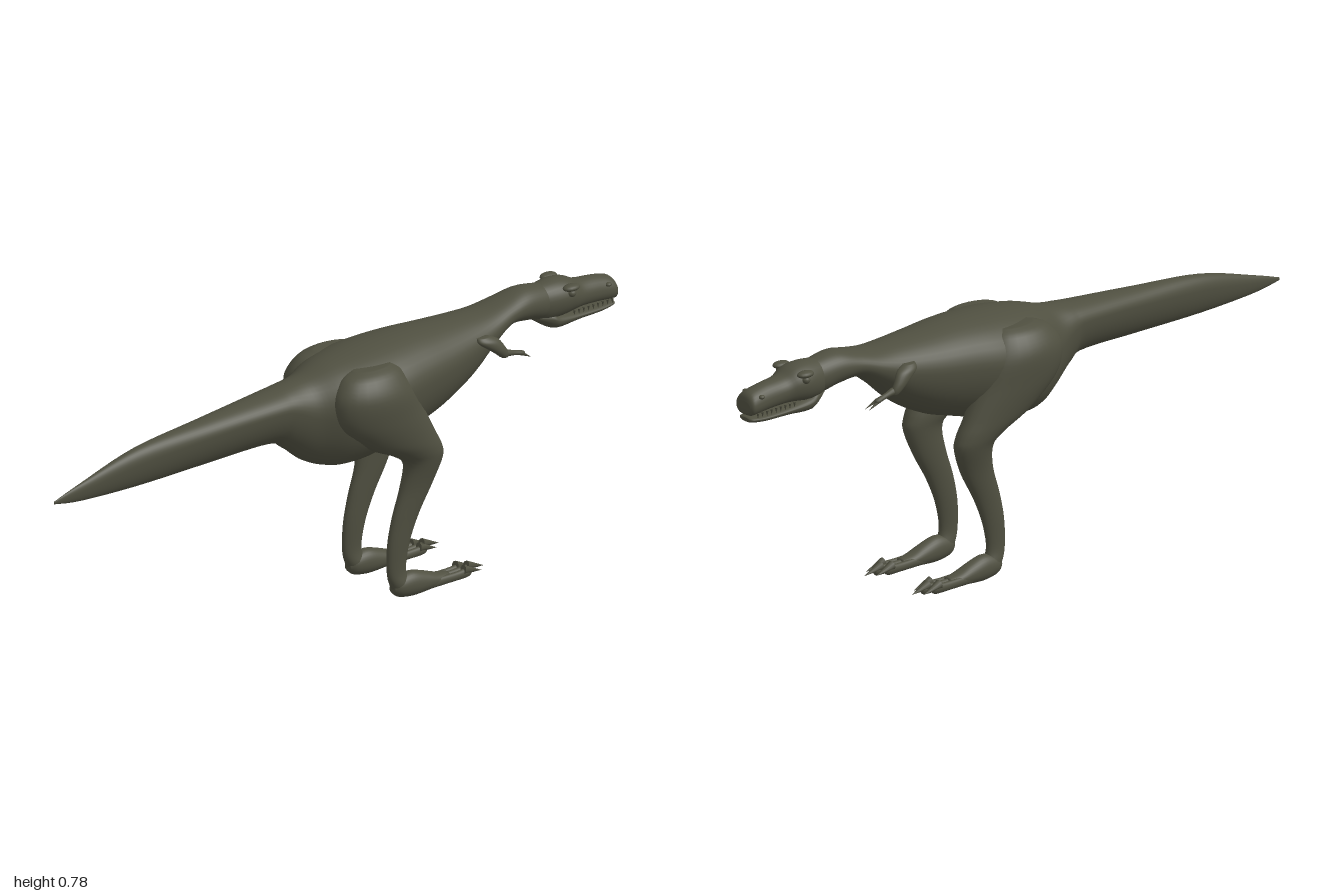
import * as THREE from 'three';

const hide = new THREE.MeshStandardMaterial({ color: 0x4f4f40 });
hide.name = 'oliveHide';

// Smooth interpolation of a table of section rows
function refine(rows, steps) {
  const out = [];
  const at = (i) => rows[Math.min(rows.length - 1, Math.max(0, i))];
  for (let i = 0; i < rows.length - 1; i++) {
    for (let s = 0; s < steps; s++) {
      const t = s / steps;
      out.push(at(i).map((b, c) => {
        const a = at(i - 1)[c], d = at(i + 1)[c], e = at(i + 2)[c];
        return b + 0.5 * t * (d - a + t * (2 * a - 5 * b + 4 * d - e + t * (3 * (b - d) + e - a)));
      }));
    }
  }
  out.push(rows[rows.length - 1]);
  return out;
}

// Closed skin over rings of points, always wound outward
function skin(rings) {
  const n = rings[0].length, pts = rings.flat(), idx = [];
  for (let r = 0; r < rings.length - 1; r++) {
    for (let i = 0; i < n; i++) {
      const j = (i + 1) % n, a = r * n, b = a + n;
      idx.push(a + i, a + j, b + i, a + j, b + j, b + i);
    }
  }
  [rings[0], rings[rings.length - 1]].forEach((ring, end) => {
    const c = pts.length, base = end ? (rings.length - 1) * n : 0;
    pts.push(ring.reduce((s, p) => s.add(p), new THREE.Vector3()).divideScalar(n));
    for (let i = 0; i < n; i++) {
      const j = (i + 1) % n;
      if (end) idx.push(c, base + i, base + j); else idx.push(c, base + j, base + i);
    }
  });
  let volume = 0;
  const cross = new THREE.Vector3();
  for (let i = 0; i < idx.length; i += 3) {
    volume += pts[idx[i]].dot(cross.crossVectors(pts[idx[i + 1]], pts[idx[i + 2]]));
  }
  if (volume < 0) idx.reverse();
  const g = new THREE.BufferGeometry().setFromPoints(pts);
  g.setIndex(idx);
  g.computeVertexNormals();
  return g;
}

// Sections along z: [z, half width, top, bottom, height fraction of widest point, lower fullness]
function lengthwise(rows, x = 0, steps = 5, n = 32) {
  return skin(refine(rows, steps).map(([z, w, top, bottom, f, k]) => {
    const mid = bottom + (top - bottom) * f;
    return Array.from({ length: n }, (_, i) => {
      const a = (i / n) * Math.PI * 2, c = Math.cos(a), s = Math.sin(a);
      const px = Math.sign(c) * Math.abs(c) ** (s < 0 ? k : 1) * Math.max(w, 0.001);
      return new THREE.Vector3(x + px, mid + s * (s > 0 ? top - mid : mid - bottom), z);
    });
  }));
}

// Sections up a limb: [y, z, z radius, x, x radius]
function upright(rows, side) {
  return skin(refine(rows, 5).map(([y, z, rz, x, rx]) =>
    Array.from({ length: 24 }, (_, i) => {
      const a = (i / 24) * Math.PI * 2;
      return new THREE.Vector3(side * (x + Math.cos(a) * rx), y, z + Math.sin(a) * rz);
    })));
}

function add(parent, name, geometry) {
  const m = new THREE.Mesh(geometry, hide);
  m.name = name;
  parent.add(m);
  return m;
}

// Tapered spike between two points
function spike(parent, name, from, to, r) {
  const a = new THREE.Vector3(...from), d = new THREE.Vector3(...to).sub(a);
  const m = add(parent, name, new THREE.ConeGeometry(r, d.length(), 8));
  m.position.copy(a).addScaledVector(d, 0.5);
  m.quaternion.setFromUnitVectors(new THREE.Vector3(0, 1, 0), d.normalize());
}

const BODY = [
  [0.995, 0.002, 0.58, 0.572, 0.5, 1], [0.9, 0.011, 0.61, 0.557, 0.6, 1.1],
  [0.7, 0.029, 0.664, 0.548, 0.65, 1.2], [0.45, 0.048, 0.687, 0.549, 0.7, 1.3],
  [0.24, 0.067, 0.704, 0.55, 0.7, 1.2], [0.18, 0.075, 0.711, 0.522, 0.68, 1],
  [0.11, 0.095, 0.722, 0.466, 0.6, 0.9], [0.03, 0.14, 0.745, 0.437, 0.58, 0.85],
  [-0.06, 0.163, 0.758, 0.438, 0.6, 0.85], [-0.15, 0.16, 0.764, 0.455, 0.6, 0.9],
  [-0.25, 0.143, 0.765, 0.482, 0.6, 0.95], [-0.35, 0.124, 0.76, 0.514, 0.6, 1],
  [-0.45, 0.102, 0.756, 0.57, 0.58, 1], [-0.53, 0.082, 0.755, 0.64, 0.55, 1],
  [-0.6, 0.066, 0.766, 0.686, 0.5, 1], [-0.67, 0.058, 0.78, 0.682, 0.5, 1],
  [-0.74, 0.05, 0.772, 0.668, 0.5, 1], [-0.79, 0.04, 0.76, 0.68, 0.5, 1],
];
const UPPER_HEAD = [
  [-0.7, 0.035, 0.765, 0.69, 0.5, 1], [-0.74, 0.05, 0.772, 0.665, 0.5, 0.8],
  [-0.79, 0.059, 0.776, 0.665, 0.5, 0.7], [-0.83, 0.058, 0.77, 0.672, 0.5, 0.6],
  [-0.87, 0.046, 0.752, 0.675, 0.45, 0.5], [-0.93, 0.041, 0.745, 0.672, 0.4, 0.5],
  [-0.975, 0.041, 0.736, 0.668, 0.4, 0.5], [-0.993, 0.038, 0.725, 0.666, 0.45, 0.6],
  [-1, 0.028, 0.708, 0.674, 0.5, 0.8],
];
const LOWER_JAW = [
  [-0.72, 0.025, 0.69, 0.664, 0.5, 1], [-0.76, 0.045, 0.69, 0.638, 0.6, 0.8],
  [-0.79, 0.047, 0.676, 0.631, 0.6, 0.8], [-0.86, 0.04, 0.664, 0.636, 0.6, 0.8],
  [-0.94, 0.036, 0.66, 0.638, 0.6, 0.8], [-0.985, 0.03, 0.661, 0.643, 0.6, 0.9],
  [-0.995, 0.018, 0.658, 0.648, 0.5, 1],
];
const LEG = [
  [0.735, -0.07, 0.06, 0.09, 0.03], [0.715, -0.06, 0.1, 0.1, 0.055],
  [0.66, -0.06, 0.135, 0.108, 0.076], [0.58, -0.085, 0.145, 0.11, 0.072],
  [0.5, -0.15, 0.12, 0.112, 0.057], [0.45, -0.212, 0.085, 0.11, 0.047],
  [0.41, -0.238, 0.066, 0.108, 0.038], [0.335, -0.22, 0.056, 0.101, 0.028],
  [0.25, -0.183, 0.046, 0.099, 0.022], [0.17, -0.158, 0.038, 0.099, 0.019],
  [0.09, -0.15, 0.032, 0.1, 0.017], [0.045, -0.165, 0.034, 0.1, 0.024],
  [0.015, -0.175, 0.026, 0.1, 0.018],
];
const FOOT = [
  [-0.135, 0.012, 0.05, 0.025, 0.5, 1], [-0.155, 0.025, 0.068, 0.01, 0.5, 1],
  [-0.2, 0.03, 0.077, 0.003, 0.45, 0.9], [-0.25, 0.029, 0.063, 0.006, 0.45, 0.8],
  [-0.29, 0.026, 0.048, 0.01, 0.5, 0.8], [-0.33, 0.02, 0.04, 0.014, 0.5, 0.8],
];

export function createModel() {
  const model = new THREE.Group();
  model.name = 'dinosaur';
  add(model, 'bodyAndTail', lengthwise(BODY, 0, 6, 40));
  add(model, 'upperHead', lengthwise(UPPER_HEAD));
  add(model, 'lowerJaw', lengthwise(LOWER_JAW));

  for (const side of [1, -1]) {
    const word = side > 0 ? 'left' : 'right';

    // Brow, eye and nostril
    const bump = (name, x, y, z, rx, ry, rz) => {
      const m = add(model, word + name, new THREE.SphereGeometry(1, 16, 12));
      m.position.set(side * x, y, z);
      m.scale.set(rx, ry, rz);
    };
    bump('Brow', 0.052, 0.757, -0.815, 0.018, 0.01, 0.028);
    bump('Eye', 0.054, 0.74, -0.815, 0.012, 0.011, 0.013);
    bump('Nostril', 0.034, 0.72, -0.962, 0.009, 0.006, 0.01);

    // Small teeth under the lip
    for (let i = 0; i < 9; i++) {
      const z = -0.84 - i * 0.017;
      spike(model, word + 'Tooth', [side * 0.034, 0.675, z], [side * 0.034, 0.658, z], 0.004);
    }

    // Leg, foot, toes and claws
    const leg = new THREE.Group();
    leg.name = word + 'Leg';
    model.add(leg);
    add(leg, 'thighAndShank', upright(LEG, side));
    add(leg, 'foot', lengthwise(FOOT, side * 0.1));
    for (const t of [-1, 0, 1]) {
      const x = side * 0.1 + t * 0.018, reach = t ? 0 : 0.025;
      add(leg, 'toe', lengthwise([
        [-0.25, 0.009, 0.04, 0.012, 0.5, 1], [-0.34, 0.01, 0.038, 0.012, 0.5, 1],
        [-0.385 - reach, 0.01, 0.04, 0.012, 0.5, 1], [-0.4 - reach, 0.006, 0.034, 0.017, 0.5, 1],
      ], x, 4, 14));
      spike(leg, 'toeClaw', [x, 0.038, -0.375 - reach], [x + t * 0.004, 0.022, -0.437 - reach], 0.014);
    }

    // Small arm with clawed hand
    const arm = new THREE.Group();
    arm.name = word + 'Arm';
    model.add(arm);
    add(arm, 'upperArm', upright([
      [0.715, -0.465, 0.02, 0.092, 0.012], [0.7, -0.48, 0.034, 0.1, 0.018],
      [0.675, -0.505, 0.026, 0.108, 0.015], [0.655, -0.523, 0.019, 0.11, 0.012],
      [0.643, -0.53, 0.011, 0.11, 0.008],
    ], side));
    add(arm, 'forearm', lengthwise([
      [-0.515, 0.008, 0.66, 0.645, 0.5, 1], [-0.535, 0.011, 0.663, 0.641, 0.5, 1],
      [-0.565, 0.008, 0.652, 0.637, 0.5, 1], [-0.592, 0.009, 0.645, 0.63, 0.5, 1],
      [-0.602, 0.005, 0.64, 0.631, 0.5, 1],
    ], side * 0.106, 4, 14));
    for (const t of [-1, 1]) {
      spike(arm, 'fingerClaw', [side * 0.104 + t * 0.005, 0.637, -0.59],
        [side * 0.098 + t * 0.008, 0.615, -0.628], 0.006);
    }
  }
  return model;
}
